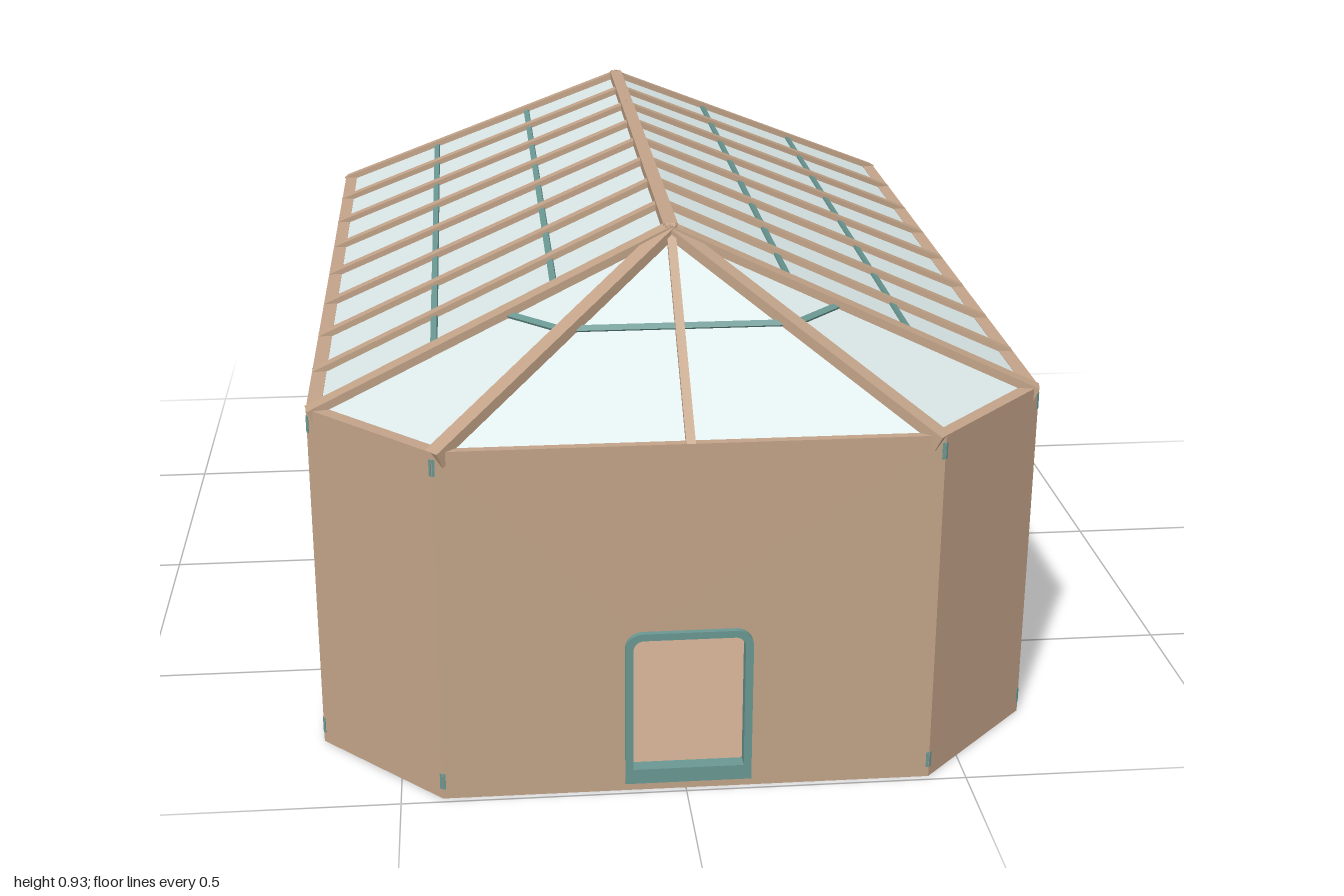
import * as THREE from 'three';

const timber = new THREE.MeshStandardMaterial({ name: 'timber', color: 0xc2a388 });
const glass = new THREE.MeshStandardMaterial({ name: 'glass', color: 0xdae6e6, side: THREE.DoubleSide });
const teal = new THREE.MeshStandardMaterial({ name: 'tealMetal', color: 0x6a9792 });

const WALL_H = 0.645, EAVE_Y = 0.655, RIDGE_Y = 0.932, RIDGE_Z = 0.638;
const WALL_T = 0.012;
const SIDE = 1, BACK = 3, DOOR_SIDE = 5, FRONT = 7;

// Octagonal footprint [x, z]; wall i runs from corner i to corner i + 1
const corners = [
  [0.4305, 0.993], [0.6475, 0.778], [0.6475, -0.778], [0.4305, -0.993],
  [-0.4305, -0.993], [-0.6475, -0.778], [-0.6475, 0.778], [-0.4305, 0.993],
];
const isLong = (i) => i === SIDE || i === DOOR_SIDE;
const eave = (i) => new THREE.Vector3(corners[i % 8][0], EAVE_Y, corners[i % 8][1]);
const apex = (i) => new THREE.Vector3(0, RIDGE_Y, Math.sign(corners[i % 8][1]) * RIDGE_Z);

function add(parent, name, geometry, material, x = 0, y = 0, z = 0) {
  const mesh = new THREE.Mesh(geometry, material);
  mesh.name = name;
  mesh.position.set(x, y, z);
  parent.add(mesh);
  return mesh;
}

// Square-cut bar from a to b whose top face lies on the line a-b
function beam(parent, name, a, b, width, depth, material, up = new THREE.Vector3(0, 1, 0)) {
  const dir = b.clone().sub(a);
  const length = dir.length();
  dir.normalize();
  const side = up.clone().cross(dir).normalize();
  const top = dir.clone().cross(side);
  const mesh = add(parent, name, new THREE.BoxGeometry(width, depth, length), material);
  mesh.quaternion.setFromRotationMatrix(new THREE.Matrix4().makeBasis(side, top, dir));
  mesh.position.copy(a).add(b).multiplyScalar(0.5).addScaledVector(top, -depth / 2);
}

// Door outline with rounded top corners, usable as a shape or a hole
function doorOutline(PathType, half, bottom, top, r) {
  const p = new PathType();
  p.moveTo(-half, bottom);
  p.lineTo(half, bottom);
  p.lineTo(half, top - r);
  p.absarc(half - r, top - r, r, 0, Math.PI / 2);
  p.lineTo(-half + r, top);
  p.absarc(-half + r, top - r, r, Math.PI / 2, Math.PI);
  p.closePath();
  return p;
}

function wallPanel(x0, x1, hasDoor) {
  const s = new THREE.Shape();
  s.moveTo(x0, 0);
  s.lineTo(x1, 0);
  s.lineTo(x1, WALL_H);
  s.lineTo(x0, WALL_H);
  s.closePath();
  if (hasDoor) s.holes.push(doorOutline(THREE.Path, 0.107, 0.02, 0.306, 0.028));
  return new THREE.ExtrudeGeometry(s, { depth: WALL_T, bevelEnabled: false, curveSegments: 6 });
}

function buildWalls() {
  const walls = new THREE.Group();
  walls.name = 'walls';
  for (let i = 0; i < 8; i++) {
    const [ax, az] = corners[i], [bx, bz] = corners[(i + 1) % 8];
    const half = Math.hypot(bx - ax, bz - az) / 2;
    const wall = new THREE.Group();
    wall.name = 'wall';
    wall.position.set((ax + bx) / 2, 0, (az + bz) / 2);
    wall.rotation.y = Math.atan2(az - bz, bx - ax);
    walls.add(wall);

    if (i === BACK) {
      // Two panels joined by an inner batten
      add(wall, 'backPanel', wallPanel(-half, -0.001, false), timber, 0, 0, -WALL_T);
      add(wall, 'backPanel', wallPanel(0.001, half, false), timber, 0, 0, -WALL_T);
      add(wall, 'batten', new THREE.BoxGeometry(0.018, WALL_H, 0.015), timber, 0, WALL_H / 2, -WALL_T - 0.007);
    } else {
      const hasDoor = i === FRONT || i === DOOR_SIDE;
      add(wall, 'wallPanel', wallPanel(-half, half, hasDoor), timber, 0, 0, -WALL_T);
      if (hasDoor) {
        const frame = doorOutline(THREE.Shape, 0.111, 0.018, 0.31, 0.03);
        frame.holes.push(doorOutline(THREE.Path, 0.097, 0.046, 0.297, 0.018));
        const geo = new THREE.ExtrudeGeometry(frame, { depth: 0.026, bevelEnabled: false, curveSegments: 6 });
        add(wall, 'doorFrame', geo, teal, 0, 0, -0.016);
      }
    }

    // Small corner brackets near the top and foot of the wall
    for (const y of [0.034, 0.627])
      for (const s of [-1, 1])
        add(wall, 'cornerBracket', new THREE.BoxGeometry(0.005, 0.03, 0.006), teal, s * (half - 0.003), y, -0.002);
  }
  return walls;
}

function buildFloor(parent) {
  const shape = new THREE.Shape(corners.map(([x, z]) => new THREE.Vector2(x * 0.998, -z * 0.998)));
  const geo = new THREE.ExtrudeGeometry(shape, { depth: 0.014, bevelEnabled: false });
  add(parent, 'floor', geo, timber).rotation.x = -Math.PI / 2;
}

function buildRoof() {
  const roof = new THREE.Group();
  roof.name = 'roof';
  beam(roof, 'ridgeBeam', apex(1), apex(2), 0.026, 0.03, timber);

  for (let i = 0; i < 8; i++) {
    const a = eave(i), b = eave(i + 1), topA = apex(i), topB = apex(i + 1);
    const normal = b.clone().sub(a).cross(topA.clone().sub(a)).normalize();

    // Glazing, set just below the rafter tops
    const ring = isLong(i) ? [a, b, topB, a, topB, topA] : [a, b, topA];
    const pane = new THREE.BufferGeometry().setFromPoints(ring);
    pane.computeVertexNormals();
    add(roof, 'glassPane', pane, glass, 0, -0.012, 0);

    // Eave beam, kept inside the wall line
    const inward = new THREE.Vector3(a.z - b.z, 0, b.x - a.x).normalize().multiplyScalar(-0.013);
    beam(roof, 'eaveBeam', a.clone().add(inward), b.clone().add(inward), 0.026, 0.02, timber);

    // Hip rafter at each corner
    beam(roof, 'hipRafter', a, topA, 0.03, 0.03, timber);

    // Rafters fanning slightly from ridge to eave, or one slim rafter on the ends
    if (isLong(i)) {
      for (let k = 1; k < 8; k++)
        beam(roof, 'rafter', a.clone().lerp(b, k / 8), topA.clone().lerp(topB, k / 8), 0.024, 0.028, timber, normal);
    } else if (i === FRONT || i === BACK) {
      beam(roof, 'endRafter', a.clone().lerp(b, 0.5), topA, 0.016, 0.024, timber, normal);
    }

    // Metal glazing bars
    for (const t of isLong(i) ? [0.33, 0.66] : [0.47]) {
      const p = topA.clone().lerp(a, t).addScaledVector(normal, -0.006);
      const q = topB.clone().lerp(b, t).addScaledVector(normal, -0.006);
      beam(roof, 'glazingBar', p, q, 0.012, 0.014, teal, normal);
    }
  }
  return roof;
}

export function createModel() {
  const model = new THREE.Group();
  model.name = 'glassRoofedHall';
  const hall = new THREE.Group();
  hall.name = 'hall';
  hall.position.set(0.0035, 0, -0.004);
  buildFloor(hall);
  hall.add(buildWalls(), buildRoof());
  model.add(hall);
  return model;
}
